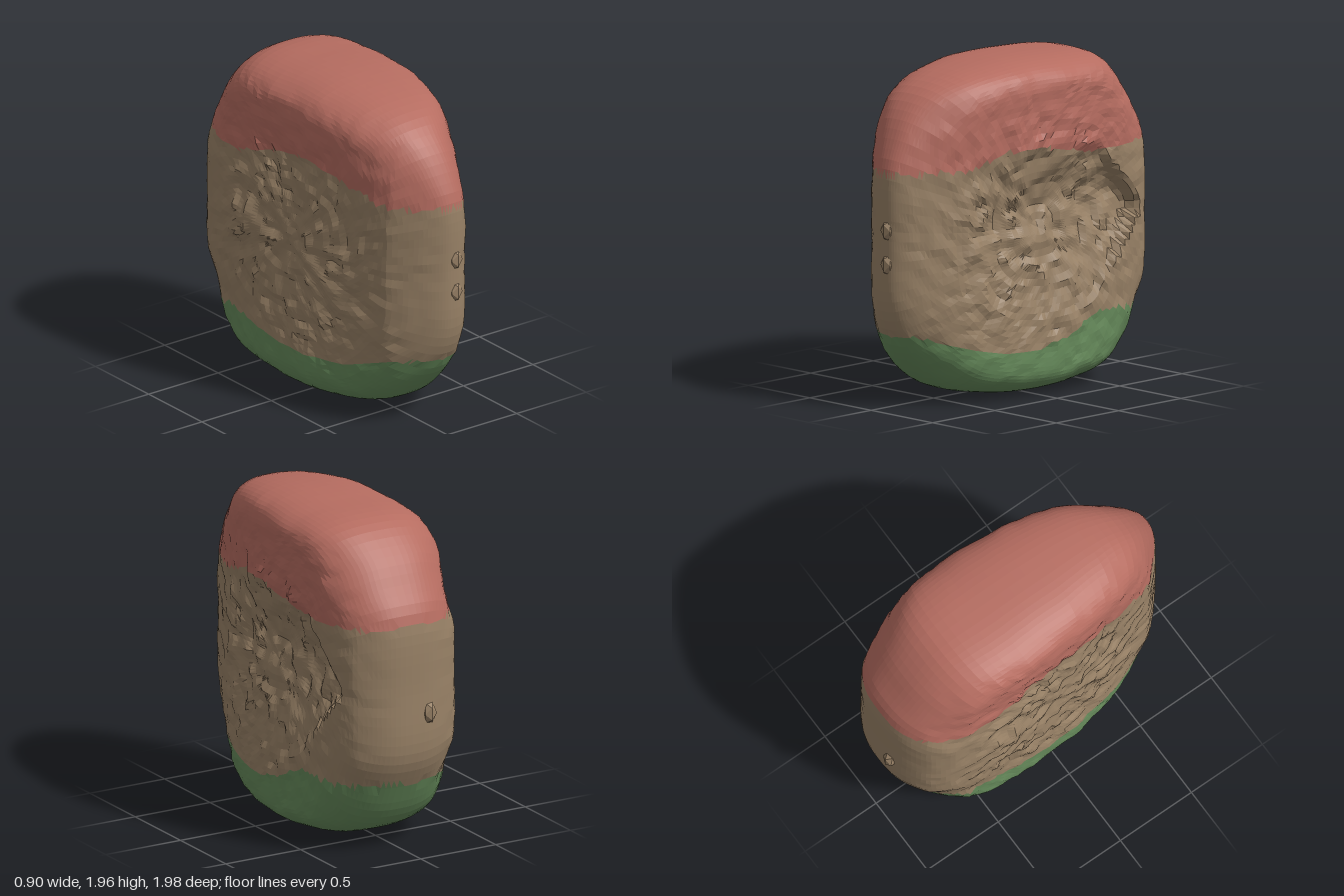
import * as THREE from 'three';

const SEG = 110, RINGS = 36;
const { lerp, clamp } = THREE.MathUtils;
const smooth = (a, b, v) => THREE.MathUtils.smoothstep(v, a, b);

// side outline as [z, y], starting at the front and going over the top
const OUTLINE = [
  [0.97, 1.0], [0.965, 1.4], [0.92, 1.53], [0.82, 1.71], [0.7, 1.83], [0.54, 1.9], [0.2, 1.955],
  [-0.2, 1.955], [-0.57, 1.91], [-0.75, 1.76], [-0.86, 1.6], [-0.95, 1.44], [-0.97, 1.0],
  [-0.96, 0.6], [-0.88, 0.42], [-0.74, 0.18], [-0.55, 0.07], [-0.3, 0.025], [0, 0.005],
  [0.3, 0.03], [0.55, 0.09], [0.75, 0.24], [0.89, 0.42], [0.96, 0.6],
];

// plan width by z: [z, lowest x, highest x]
const PLAN = [
  [-1, -0.25, 0.33], [-0.85, -0.325, 0.39], [-0.6, -0.375, 0.425], [-0.2, -0.4, 0.44], [0.2, -0.375, 0.415],
  [0.5, -0.315, 0.36], [0.75, -0.245, 0.285], [0.9, -0.14, 0.25], [1, -0.06, 0.22],
];

// heights of the colour borders by z: [z, lower, upper]
const LEFT_BORDERS = [
  [-0.9, 0.44, 1.39], [-0.38, 0.44, 1.385], [-0.2, 0.36, 1.41], [0.05, 0.285, 1.465],
  [0.3, 0.29, 1.46], [0.5, 0.33, 1.395], [0.85, 0.43, 1.39],
];
const RIGHT_BORDERS = [
  [-0.85, 0.43, 1.39], [-0.45, 0.37, 1.385], [-0.1, 0.32, 1.5], [0.15, 0.31, 1.53],
  [0.45, 0.34, 1.47], [0.75, 0.43, 1.39],
];

function lookUp(table, z) {
  let i = 0;
  while (i < table.length - 2 && z > table[i + 1][0]) i++;
  const [z0, a0, b0] = table[i], [z1, a1, b1] = table[i + 1];
  const k = clamp((z - z0) / (z1 - z0), 0, 1);
  return [lerp(a0, a1, k), lerp(b0, b1, k)];
}

// hollow on the left face: a valley, round in front, with an arrow-shaped step at the back
function hollow(z, y) {
  const profile = y < 1.1 ? clamp((y - 0.48) / 0.62, 0, 1) : clamp((1.46 - y) / 0.34, 0, 1);
  const arrow = 0.5 * (z + 0.79) / 0.42 - Math.abs(y - 1.01);
  const depth = lerp(0.12, 0.06, smooth(-0.2, 0.5, z));
  return depth * profile * smooth(0, 0.09, arrow) * (1 - smooth(0.3, 0.6, z));
}

// seeded value noise over the side face, from -0.5 to 0.5
function noise(u, v, seed) {
  const hash = (i, j) => {
    const s = Math.sin(i * 127.1 + j * 311.7 + seed * 74.7) * 43758.5453;
    return s - Math.floor(s) - 0.5;
  };
  const i = Math.floor(u), j = Math.floor(v);
  return lerp(lerp(hash(i, j), hash(i + 1, j), u - i), lerp(hash(i, j + 1), hash(i + 1, j + 1), u - i), v - j);
}

export function createModel() {
  const group = new THREE.Group();
  const curve = new THREE.CatmullRomCurve3(OUTLINE.map(([z, y]) => new THREE.Vector3(0, y, z)), true);
  const rim = curve.getSpacedPoints(SEG).slice(0, SEG);
  const parts = { redCap: [], tanBody: [], greenBase: [] };

  for (const side of [1, -1]) {
    const borders = side > 0 ? LEFT_BORDERS : RIGHT_BORDERS;
    const rings = [];
    for (let r = 0; r <= RINGS; r++) {
      const t = Math.sin((Math.PI / 2) * (r / RINGS));
      rings.push(rim.map((p) => {
        const inner = r > 0 && r < RINGS;
        const z = p.z * t;
        let y = 0.98 + (p.y - 0.98) * t;
        // pull nearby points onto the colour borders
        for (const border of lookUp(borders, z)) {
          if (inner && Math.abs(y - border) < 0.014) y = border;
        }
        // thickness with a rounded rim, softer towards the narrow ends
        const [lo, hi] = lookUp(PLAN, z);
        const mid = (lo + hi) / 2 + 0.025 * smooth(0.75, 0.97, Math.abs(y - 0.98));
        const d = Math.min(1, (1 - t) * 0.97 / lerp(0.2, 0.29, smooth(0.4, 0.8, Math.abs(z))));
        const round = Math.pow(1 - Math.pow(1 - d, 2.5), 1 / 2.5);
        let out = (hi - lo) / 2 * round;
        const core = 1 - smooth(0.5, 0.75, Math.hypot(z, y - 0.95));
        if (side > 0) out -= hollow(z, y);
        else {
          // right face: swells towards the back, with a lump in the middle
          const level = 1 - smooth(0.25, 0.55, Math.abs(y - 0.95));
          out += 0.03 * level * (1 - smooth(-0.5, 0, z)) * round - 0.01 * core;
          out += 0.04 * Math.exp(-(((z + 0.4) / 0.17) ** 2) - ((y - 0.97) / 0.12) ** 2);
        }
        // chipped surface
        const rough = (0.018 + 0.03 * core) * noise(z * 18, y * 18, side + 5);
        if (inner) out += rough * round;
        return new THREE.Vector3(mid + side * out, y, z);
      }));
    }

    const addFace = (a, b, c) => {
      const z = (a.z + b.z + c.z) / 3, y = (a.y + b.y + c.y) / 3;
      const [low, high] = lookUp(borders, z);
      const name = y > high ? 'redCap' : y < low ? 'greenBase' : 'tanBody';
      for (const v of side > 0 ? [a, c, b] : [a, b, c]) parts[name].push(v.x, v.y, v.z);
    };
    for (let r = 0; r < RINGS; r++) {
      for (let i = 0; i < SEG; i++) {
        const j = (i + 1) % SEG;
        addFace(rings[r][i], rings[r + 1][i], rings[r + 1][j]);
        if (r > 0) addFace(rings[r][i], rings[r + 1][j], rings[r][j]);
      }
    }
  }

  const colors = { redCap: 0xb56c60, tanBody: 0x988166, greenBase: 0x65895a };
  const materials = {};
  for (const name of Object.keys(parts)) {
    const material = new THREE.MeshStandardMaterial({ color: colors[name] });
    material.name = { redCap: 'red', tanBody: 'tan', greenBase: 'green' }[name];
    material.flatShading = true;
    materials[name] = material;
    const geometry = new THREE.BufferGeometry();
    geometry.setAttribute('position', new THREE.Float32BufferAttribute(parts[name], 3));
    geometry.computeVertexNormals();
    const mesh = new THREE.Mesh(geometry, material);
    mesh.name = name;
    group.add(mesh);
  }

  // small stone nubs on the narrow ends
  const nubs = [[0.09, 1.06, 0.955, 0.05], [0.09, 0.86, 0.955, 0.05], [-0.08, 0.86, -0.96, 0.05]];
  for (const [x, y, z, size] of nubs) {
    const nub = new THREE.Mesh(new THREE.IcosahedronGeometry(size, 0), materials.tanBody);
    nub.name = 'stoneNub';
    nub.position.set(x, y, z);
    nub.scale.set(0.9, 1.4, 0.8);
    group.add(nub);
  }
  return group;
}
